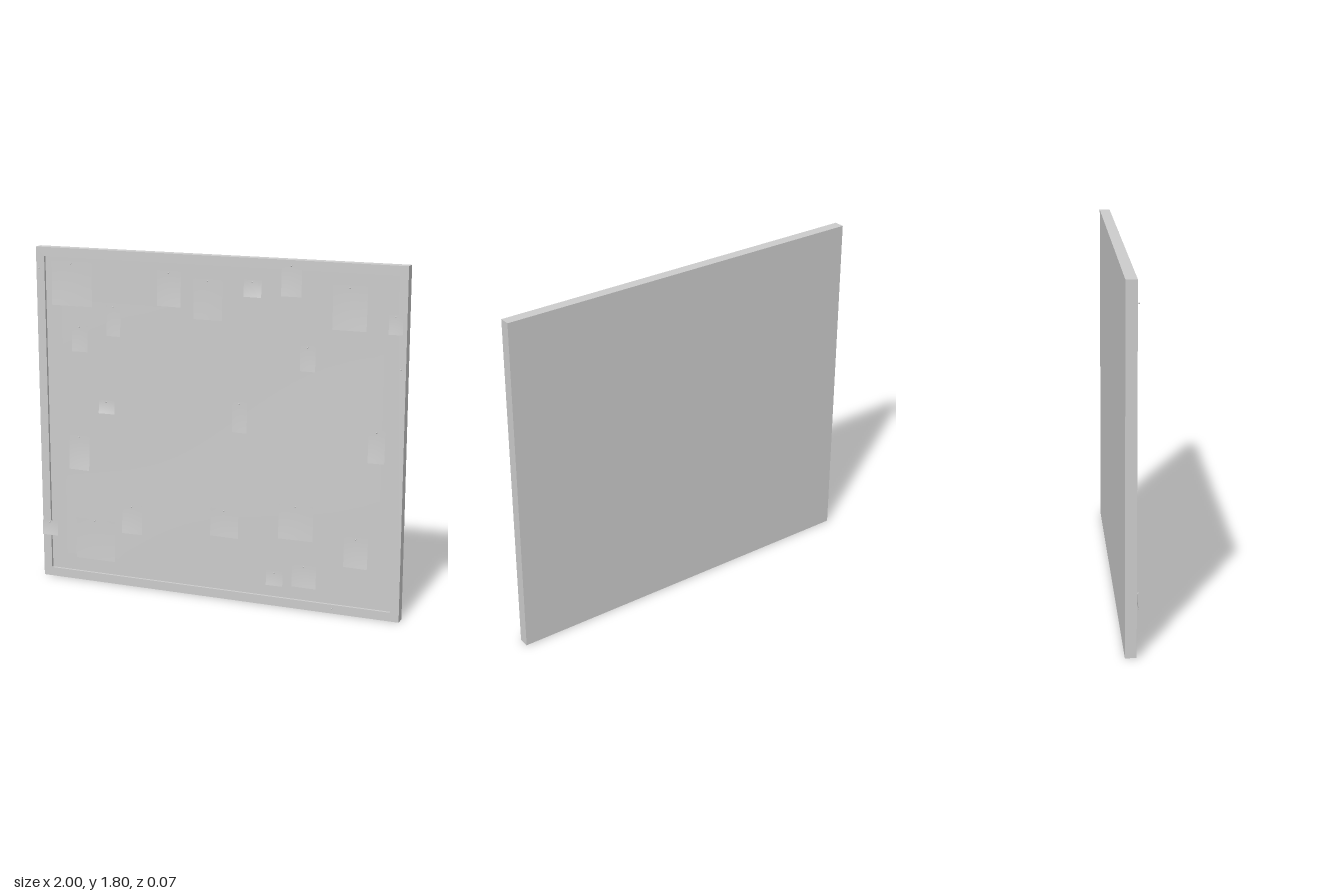
import * as THREE from 'three';

const H = 1.8, BACK = -0.037, FRONT = 0.018, PANEL = 0.004;

// Gentle ripple of the large sheet
const sheetZ = (x, y) => 0.010 + 0.003 * Math.sin(3.1 * x + 1.2 * y) + 0.002 * Math.sin(5 * y - 2 * x);

// [left, right, bottom, top, curl at the bottom edge]
const NOTES = [
  [-0.91, -0.68, 1.50, 1.73, 0.009], [-0.31, -0.18, 1.53, 1.71, 0.010],
  [-0.11, 0.045, 1.475, 1.68, 0.006], [0.16, 0.255, 1.605, 1.69, 0.012],
  [0.36, 0.465, 1.62, 1.78, 0.010], [0.625, 0.80, 1.47, 1.69, 0.010],
  [0.91, 0.98, 1.465, 1.56, 0.006], [-0.60, -0.52, 1.355, 1.515, 0.007],
  [-0.80, -0.71, 1.26, 1.40, 0.007], [0.46, 0.54, 1.25, 1.38, 0.006],
  [-0.65, -0.56, 0.94, 1.01, 0.012], [0.10, 0.18, 0.905, 1.065, 0.007],
  [0.82, 0.905, 0.815, 0.98, 0.010], [-0.83, -0.71, 0.62, 0.805, 0.016],
  [-0.525, -0.41, 0.295, 0.455, 0.010], [-0.02, 0.135, 0.34, 0.49, 0.007],
  [0.355, 0.54, 0.37, 0.555, 0.008], [0.705, 0.83, 0.26, 0.42, 0.010],
  [-1.0, -0.91, 0.235, 0.315, 0.009], [-0.80, -0.57, 0.125, 0.35, 0.007],
  [0.29, 0.38, 0.11, 0.19, 0.007], [0.43, 0.56, 0.12, 0.24, 0.008],
];

// Pins that hold no note
const LOOSE_PINS = [[-0.98, 1.69], [0.975, 1.295], [0.65, 0.03]];

const grey = new THREE.MeshStandardMaterial({ color: 0xcccccc });
const paper = new THREE.MeshStandardMaterial({ color: 0xcccccc, side: THREE.DoubleSide });

// Rectangular sheet whose depth follows zAt(x, y, u, v)
function makeSheet(name, [x0, x1, y0, y1], nx, ny, zAt) {
  const w = x1 - x0, h = y1 - y0;
  const geo = new THREE.PlaneGeometry(w, h, nx, ny);
  geo.translate((x0 + x1) / 2, (y0 + y1) / 2, 0);
  const p = geo.attributes.position;
  for (let i = 0; i < p.count; i++) {
    const x = p.getX(i), y = p.getY(i);
    p.setZ(i, zAt(x, y, (x - x0) / w, (y - y0) / h));
  }
  geo.computeVertexNormals();
  const mesh = new THREE.Mesh(geo, paper);
  mesh.name = name;
  return mesh;
}

// Short shaft with a round head
function makePin(x, y, z) {
  const pin = new THREE.Group();
  pin.name = 'pin';
  const shaft = new THREE.Mesh(new THREE.CylinderGeometry(0.0015, 0.0015, 0.01, 6), grey);
  shaft.rotation.x = Math.PI / 2;
  shaft.name = 'pinShaft';
  const head = new THREE.Mesh(new THREE.SphereGeometry(0.004, 10, 8), grey);
  head.position.z = 0.005;
  head.name = 'pinHead';
  pin.add(shaft, head);
  pin.position.set(x, y, z);
  return pin;
}

export function createModel() {
  const model = new THREE.Group();
  model.name = 'noticeBoard';

  // Frame: square-edged border around the recessed panel
  const outline = new THREE.Shape([[-1, 0], [1, 0], [1, H], [-1, H]].map(c => new THREE.Vector2(...c)));
  const b = 0.047;
  outline.holes.push(new THREE.Path(
    [[-1 + b, b], [-1 + b, H - b], [1 - b, H - b], [1 - b, b]].map(c => new THREE.Vector2(...c))));
  const frameGeo = new THREE.ExtrudeGeometry(outline, { depth: FRONT - BACK, bevelEnabled: false });
  frameGeo.translate(0, 0, BACK);
  const frame = new THREE.Mesh(frameGeo, grey);
  frame.name = 'frame';
  model.add(frame);

  // Panel closes the frame, flush with its back
  const panel = new THREE.Mesh(new THREE.BoxGeometry(2 - 2 * b, H - 2 * b, PANEL - BACK), grey);
  panel.position.set(0, H / 2, (PANEL + BACK) / 2);
  panel.name = 'panel';
  model.add(panel);

  // Large rippled sheet across the panel
  model.add(makeSheet('largeSheet', [-0.86, 0.885, 0.14, 1.525], 40, 32, sheetZ));

  // Pinned notes, each curling forward towards its lower edge
  NOTES.forEach(([x0, x1, y0, y1, curl], i) => {
    const overFrame = x0 < -0.953 || x1 > 0.953 || y1 > H - b;
    const base = overFrame ? FRONT + 0.002 : 0.0165;
    const lean = i % 2 ? 1 : -1;
    model.add(makeSheet('note', [x0, x1, y0, y1], 6, 8, (x, y, u, v) =>
      base + curl * (1 - v) ** 2 * (0.85 + 0.15 * lean * (2 * u - 1))
      + 0.001 * (2 * u - 1) ** 2 * v));
    model.add(makePin((x0 + x1) / 2, y1 - 0.008, base + 0.003));
  });
  LOOSE_PINS.forEach(([x, y]) => model.add(makePin(x, y, FRONT + 0.003)));

  return model;
}
